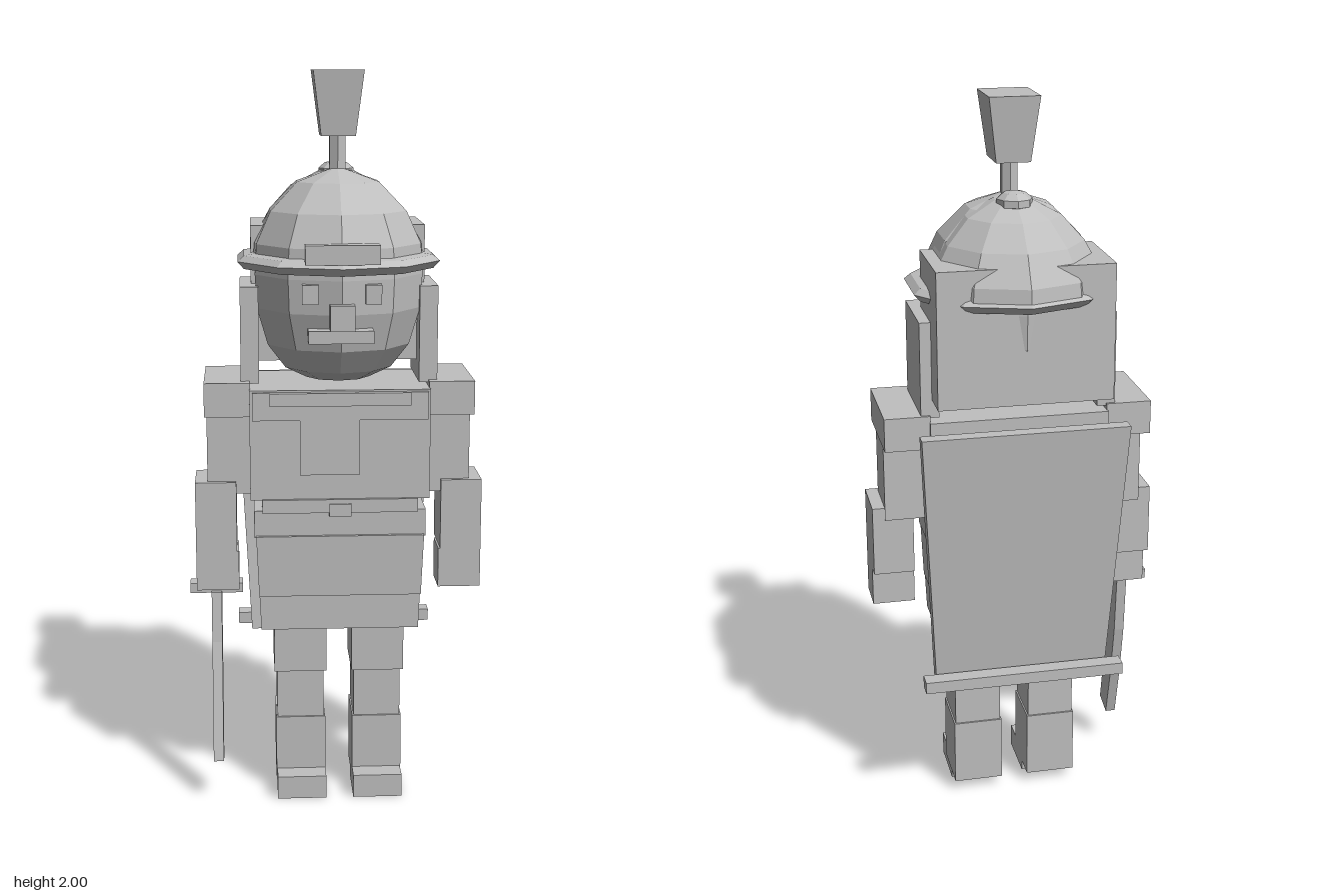
import * as THREE from 'three';

const stone = new THREE.MeshStandardMaterial({ color: 0xbfbfbf, flatShading: true });
stone.name = 'plain grey';
const CX = 0.008; // body axis

export function createModel() {
  const model = new THREE.Group();
  model.name = 'guardFigure';

  const add = (name, geometry, x = 0, y = 0, z = 0) => {
    const mesh = new THREE.Mesh(geometry, stone);
    mesh.name = name;
    mesh.position.set(x, y, z);
    model.add(mesh);
    return mesh;
  };
  // Box from its limits
  const box = (name, x0, x1, y0, y1, z0, z1) =>
    add(name, new THREE.BoxGeometry(x1 - x0, y1 - y0, z1 - z0), (x0 + x1) / 2, (y0 + y1) / 2, (z0 + z1) / 2);
  // Box centred on the body axis
  const centred = (name, half, ...limits) => box(name, CX - half, CX + half, ...limits);
  // Box whose bottom is scaled and shifted in z
  const tapered = (w, h, d, sx, sz, shift = 0) => {
    const g = new THREE.BoxGeometry(w, h, d);
    const p = g.attributes.position;
    for (let i = 0; i < p.count; i++) {
      if (p.getY(i) < 0) {
        p.setX(i, p.getX(i) * sx);
        p.setZ(i, p.getZ(i) * sz + shift);
      }
    }
    g.computeVertexNormals();
    return g;
  };
  // Ten-sided turned form, profile from bottom to top
  const turned = (name, points, z) =>
    add(name, new THREE.LatheGeometry(points.map(([r, y]) => new THREE.Vector2(r, y)), 10), CX, 0, z);

  // Legs and arms, mirrored about the body axis
  for (const [side, s] of [['left', 1], ['right', -1]]) {
    const limb = (name, a, b, ...limits) =>
      box(side + name, CX + Math.min(s * a, s * b), CX + Math.max(s * a, s * b), ...limits);
    limb('Foot', 0.038, 0.174, 0, 0.065, 0, 0.15);
    limb('Shin', 0.038, 0.176, 0.03, 0.22, -0.07, 0.09);
    limb('Knee', 0.042, 0.172, 0.22, 0.37, -0.065, 0.085);
    limb('Thigh', 0.035, 0.18, 0.36, 0.52, -0.07, 0.1);
    limb('Shoulder', 0.24, 0.363, 1.095, 1.187, -0.133, 0.135);
    limb('UpperArm', 0.235, 0.358, 0.87, 1.1, -0.06, 0.08);
    limb('Forearm', 0.28, 0.392, 0.71, 0.905, -0.056, 0.095);
    limb('Hand', 0.275, 0.392, 0.6, 0.71, -0.012, 0.095);
    limb('CheekGuard', 0.215, 0.264, 1.18, 1.44, -0.125, 0.105);
    limb('Eye', 0.061, 0.103, 1.41, 1.46, 0.17, 0.237);
  }

  // Torso and skirt
  centred('chest', 0.242, 0.87, 1.17, -0.145, 0.155);
  centred('upperChest', 0.235, 1.09, 1.165, -0.13, 0.165);
  centred('collar', 0.188, 1.13, 1.165, 0.15, 0.175);
  box('chestPlate', -0.1, 0.06, 0.94, 1.09, 0.155, 0.163);
  centred('belt', 0.21, 0.835, 0.872, -0.14, 0.165);
  centred('buckle', 0.03, 0.825, 0.86, 0.15, 0.17);
  centred('waist', 0.232, 0.765, 0.84, -0.14, 0.155);
  add('skirt', tapered(0.455, 0.17, 0.3, 0.97, 0.97), CX, 0.685, 0.015);
  add('skirtHem', tapered(0.44, 0.1, 0.275, 0.98, 1), CX, 0.55, 0.008);

  // Cape leaning back, with a bar along its lower edge
  add('cape', tapered(0.56, 0.745, 0.04, 0.86, 1, 0.075), CX, 0.783, -0.215);
  centred('capeBar', 0.279, 0.41, 0.443, -0.215, -0.17);

  // Head and hair
  turned('head', [[0, 1.175], [0.09, 1.185], [0.15, 1.215], [0.2, 1.28], [0.23, 1.38], [0.235, 1.47],
    [0.23, 1.55], [0.19, 1.635], [0.115, 1.71], [0, 1.75]], 0.008);
  centred('hair', 0.234, 1.23, 1.595, -0.22, 0.03);
  box('nose', -0.024, 0.04, 1.343, 1.41, 0.2, 0.265);
  box('moustache', -0.08, 0.09, 1.31, 1.343, 0.17, 0.255);

  // Helmet, brim and crest
  turned('helmet', [[0.24, 1.5], [0.235, 1.55], [0.19, 1.63], [0.13, 1.695], [0.05, 1.735], [0, 1.74]], -0.035);
  turned('brim', [[0.2, 1.485], [0.265, 1.485], [0.283, 1.505], [0.265, 1.52], [0.2, 1.53]], 0);
  add('helmetKnob', new THREE.SphereGeometry(0.05, 8, 5).scale(1, 0.6, 1), CX, 1.732, -0.065);
  box('brimBadge', -0.088, 0.104, 1.515, 1.565, 0.225, 0.272);
  add('crestStem', new THREE.CylinderGeometry(0.024, 0.024, 0.12, 6), CX, 1.78, 0.003);
  add('crest', tapered(0.134, 0.17, 0.16, 0.68, 0.76), CX, 1.915, 0.003);

  // Curved sword in the right hand
  const blade = new THREE.Shape();
  blade.moveTo(0.015, 0.59);
  blade.lineTo(0.085, 0.59);
  blade.lineTo(0.1, 0.45);
  blade.lineTo(0.125, 0.33);
  blade.lineTo(0.168, 0.125);
  blade.lineTo(0.1, 0.108);
  blade.lineTo(0.06, 0.26);
  blade.lineTo(0.03, 0.42);
  blade.closePath();
  const bladeGeometry = new THREE.ExtrudeGeometry(blade, { depth: 0.028, bevelEnabled: false });
  add('swordBlade', bladeGeometry.rotateY(-Math.PI / 2), -0.316, 0, 0);
  box('swordGuard', -0.403, -0.257, 0.585, 0.612, 0.025, 0.072);

  return model;
}
